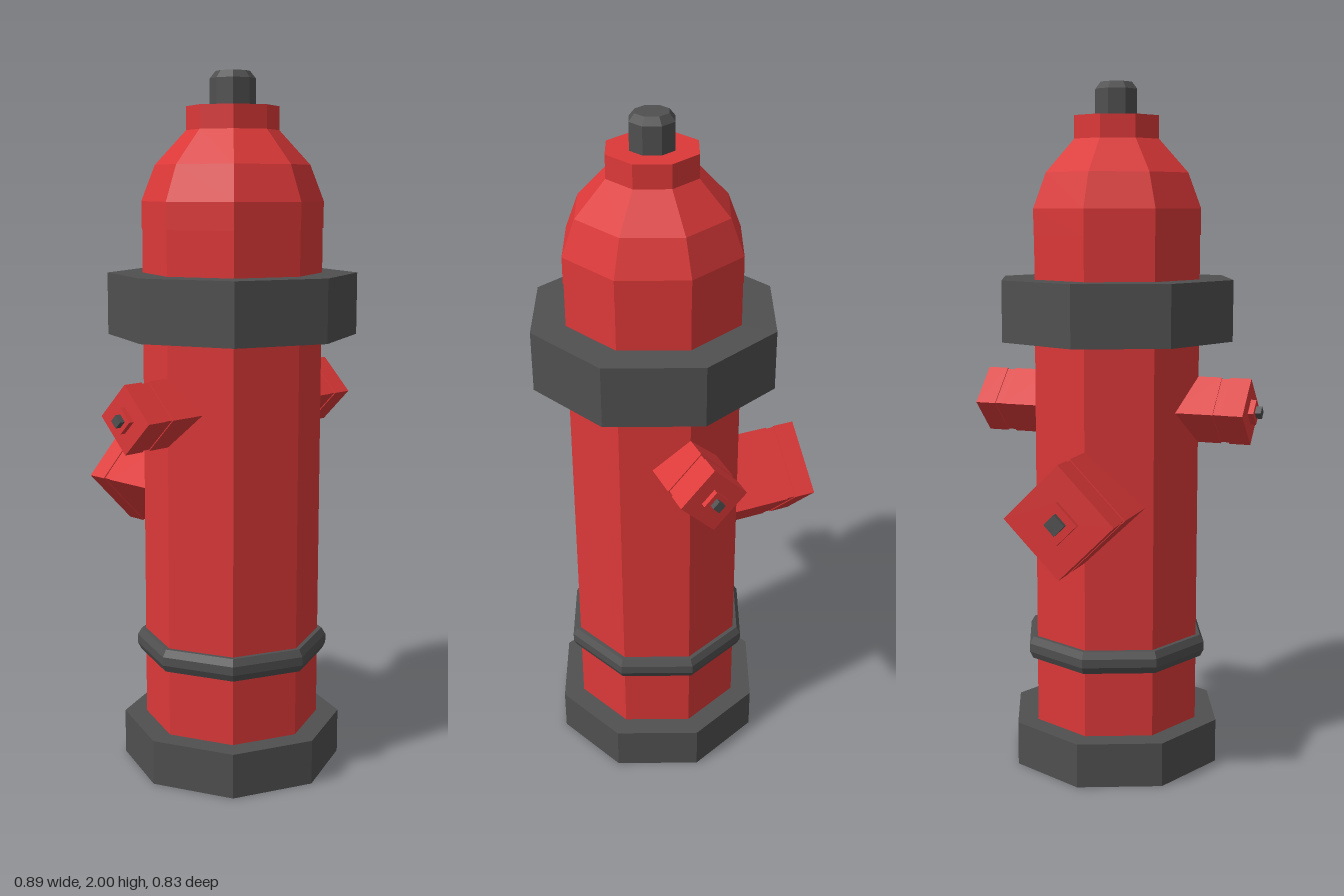
import * as THREE from 'three';

const red = new THREE.MeshStandardMaterial({ color: 0xdc3838, flatShading: true, side: THREE.DoubleSide });
red.name = 'hydrant red';
const grey = new THREE.MeshStandardMaterial({ color: 0x505050, flatShading: true, side: THREE.DoubleSide });
grey.name = 'dark iron grey';

// Faceted turned part; profile is [radius, height] from bottom to top
function turned(name, material, profile, sides = 8) {
  const points = profile.map(([r, y]) => new THREE.Vector2(r, y));
  const geometry = new THREE.LatheGeometry(points, sides).toNonIndexed();
  geometry.computeVertexNormals();
  const mesh = new THREE.Mesh(geometry, material);
  mesh.name = name;
  return mesh;
}

// Diamond-section outlet along +y: neck, groove, cap, washer and nut
function outlet(name, o) {
  const group = new THREE.Group();
  group.name = name;
  group.add(
    turned('outletCap', red, [
      [o.r, o.start], [o.r, o.groove[0]], [o.r - 0.004, o.groove[0]],
      [o.r - 0.004, o.groove[1]], [o.r, o.groove[1]], [o.r, o.end],
      [o.washerR, o.end], [o.washerR, o.washerEnd], [0, o.washerEnd],
    ], 4),
    turned('outletNut', grey, [[o.nutR, o.washerEnd], [o.nutR, o.nutEnd], [0, o.nutEnd]], 4),
  );
  return group;
}

export function createModel() {
  const model = new THREE.Group();
  model.name = 'fireHydrant';
  const axisZ = 0.0625;

  // Upright parts, all sharing one vertical axis
  const column = new THREE.Group();
  column.name = 'column';
  column.position.z = axisZ;
  column.add(
    // Hollow barrel and domed bonnet
    turned('barrel', red, [[0.255, 0.13], [0.255, 1.57]]),
    turned('bonnet', red, [
      [0.255, 1.57], [0.257, 1.57], [0.257, 1.645], [0.218, 1.745], [0.13, 1.84],
      [0.13, 1.905], [0, 1.905],
    ]),
    // Base is an open shell underneath
    turned('baseFlange', grey, [[0.32, 0], [0.32, 0.13], [0.255, 0.13]]),
    turned('lowerRing', grey, [[0.255, 0.325], [0.27, 0.325], [0.28, 0.345], [0.28, 0.37], [0.268, 0.39], [0.255, 0.39]]),
    turned('collar', grey, [[0.255, 1.27], [0.355, 1.27], [0.355, 1.445], [0.255, 1.445]]),
    turned('topNut', grey, [[0.064, 1.905], [0.064, 1.98], [0.048, 2], [0, 2]]),
  );
  model.add(column);

  // Small side outlets
  for (const side of [1, -1]) {
    const small = outlet(side > 0 ? 'leftOutlet' : 'rightOutlet', {
      r: 0.096, start: 0.2, groove: [0.325, 0.35], end: 0.412,
      washerR: 0.036, washerEnd: 0.428, nutR: 0.018, nutEnd: 0.445,
    });
    small.rotation.z = -side * Math.PI / 2;
    small.position.set(0, 1.07, axisZ);
    model.add(small);
  }

  // Large outlet on the back
  const large = outlet('backOutlet', {
    r: 0.16, start: 0.18, groove: [0.362, 0.388], end: 0.451,
    washerR: 0.06, washerEnd: 0.465, nutR: 0.03, nutEnd: 0.48,
  });
  large.rotation.x = -Math.PI / 2;
  large.position.set(0, 0.81, axisZ);
  model.add(large);

  return model;
}
